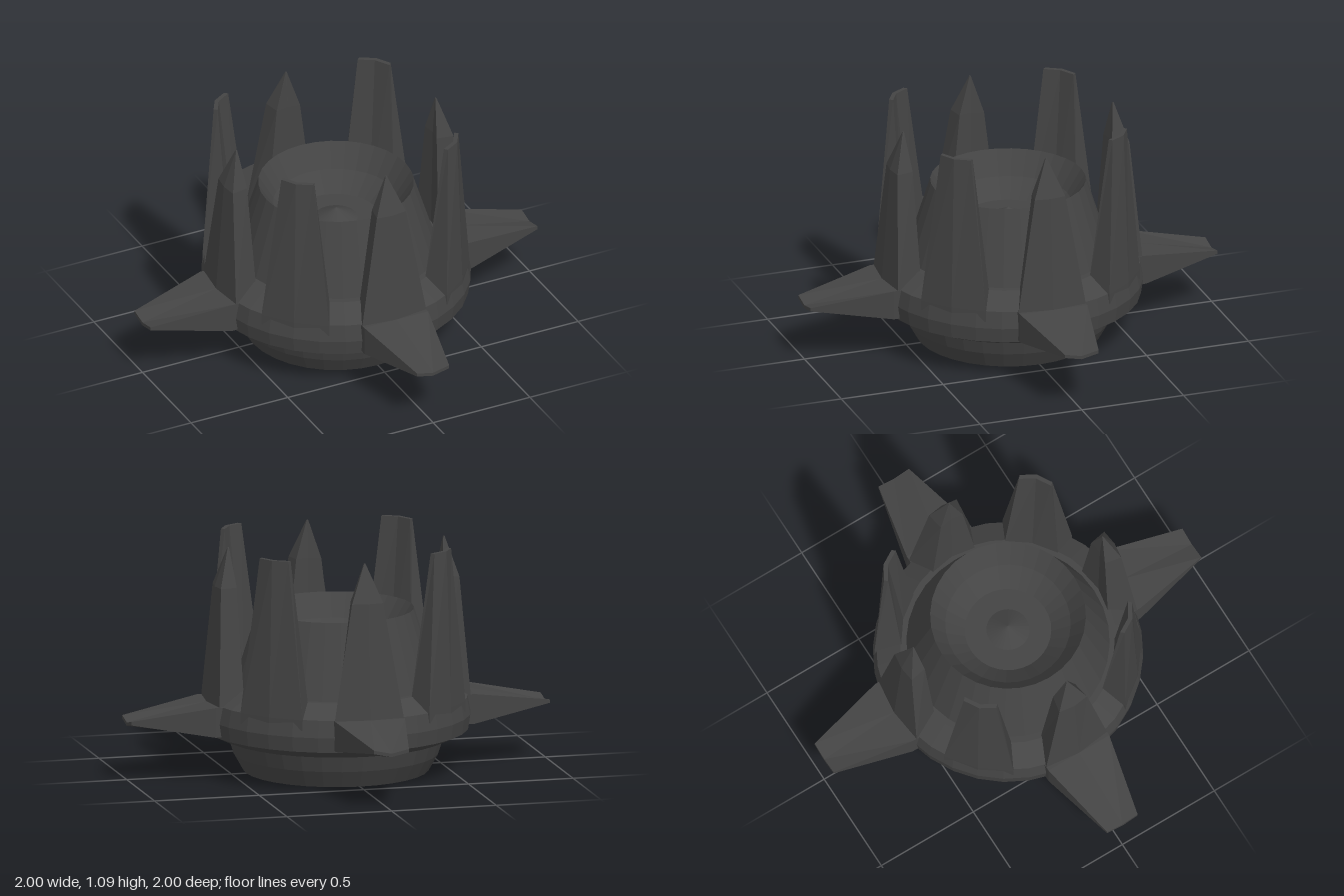
import * as THREE from 'three';

const material = new THREE.MeshStandardMaterial({ color: 0x444444, flatShading: true, side: THREE.DoubleSide });

// Joins equal-sized rings of [x, y, z] corners into a closed solid.
function loft(rings) {
  const n = rings[0].length;
  const index = [];
  for (let k = 0; k < rings.length - 1; k++) {
    for (let i = 0; i < n; i++) {
      const a = k * n + i, b = k * n + (i + 1) % n;
      index.push(a, b, b + n, a, b + n, a + n);
    }
  }
  const last = (rings.length - 1) * n;
  // Caps are strips across the ring, so bent sections close properly
  for (let i = 0; i < n / 2 - 1; i++) {
    const a = i, b = i + 1, c = n - 2 - i, d = n - 1 - i;
    index.push(a, c, b, a, d, c);
    index.push(last + a, last + b, last + c, last + a, last + c, last + d);
  }
  const geometry = new THREE.BufferGeometry();
  geometry.setAttribute('position', new THREE.Float32BufferAttribute(rings.flat(2), 3));
  geometry.setIndex(index);
  geometry.computeVertexNormals();
  return geometry;
}

// Horizontal section of an upright spike: half width, outer and inner radius, bend of each side
function spikeSection(y, w, outer, inner, bend, innerW = w) {
  return [
    [-w, y, outer - bend], [0, y, outer], [w, y, outer - bend],
    [innerW, y, inner - bend], [0, y, inner], [-innerW, y, inner - bend],
  ];
}

// Vertical section of a side fin: half width, bottom and top height, sag of the middle
function finSection(z, w, bottom, top, sagBottom, sagTop) {
  return [
    [-w, bottom, z], [0, bottom - sagBottom, z], [w, bottom, z],
    [w, top, z], [0, top - sagTop, z], [-w, top, z],
  ];
}

export function createModel() {
  const model = new THREE.Group();
  model.name = 'spikedCrown';

  function add(name, geometry, angle = 0) {
    const mesh = new THREE.Mesh(geometry, material);
    mesh.name = name;
    mesh.rotation.y = angle;
    model.add(mesh);
  }

  // Hollow base, collar, tapered tower and funnel in one turned profile
  const profile = [
    [0, 0.3], [0.2, 0.3], [0.2, 0.28], [0.32, 0.28], [0.38, 0.15], [0.43, 0],
    [0.475, 0.08], [0.5, 0.16], [0.53, 0.16], [0.615, 0.2], [0.625, 0.27], [0.61, 0.35],
    [0.5, 0.41], [0.47, 0.41], [0.36, 0.76],
    [0.29, 0.65], [0.2, 0.57], [0.1, 0.57], [0, 0.62],
  ].map(([r, y]) => new THREE.Vector2(r, y));
  add('body', new THREE.LatheGeometry(profile, 32));

  // Pointed spikes on the axes
  const pointedSpike = loft([
    spikeSection(0.3, 0.165, 0.62, 0.49, 0.02, 0.12),
    spikeSection(0.35, 0.165, 0.62, 0.49, 0.02, 0.12),
    spikeSection(0.89, 0.075, 0.58, 0.5, 0.01, 0.06),
    spikeSection(1.07, 0.003, 0.518, 0.512, 0),
  ]);

  // Blunt bent spikes on the diagonals
  const bluntSpike = loft([
    spikeSection(0.3, 0.165, 0.615, 0.49, 0.02, 0.13),
    spikeSection(0.35, 0.165, 0.615, 0.49, 0.02, 0.13),
    spikeSection(1.085, 0.077, 0.59, 0.57, 0.02),
  ]);

  // Tapered fins pointing outward
  const fin = loft([
    finSection(0.54, 0.165, 0.21, 0.35, 0.02, 0),
    finSection(0.62, 0.165, 0.21, 0.35, 0.02, 0),
    finSection(1, 0.083, 0.272, 0.288, 0.018, 0.018),
  ]);

  for (let i = 0; i < 4; i++) {
    const angle = i * Math.PI / 2;
    add('pointedSpike', pointedSpike, angle);
    add('bluntSpike', bluntSpike, angle + Math.PI / 4);
    add('sideFin', fin, angle);
  }
  return model;
}
